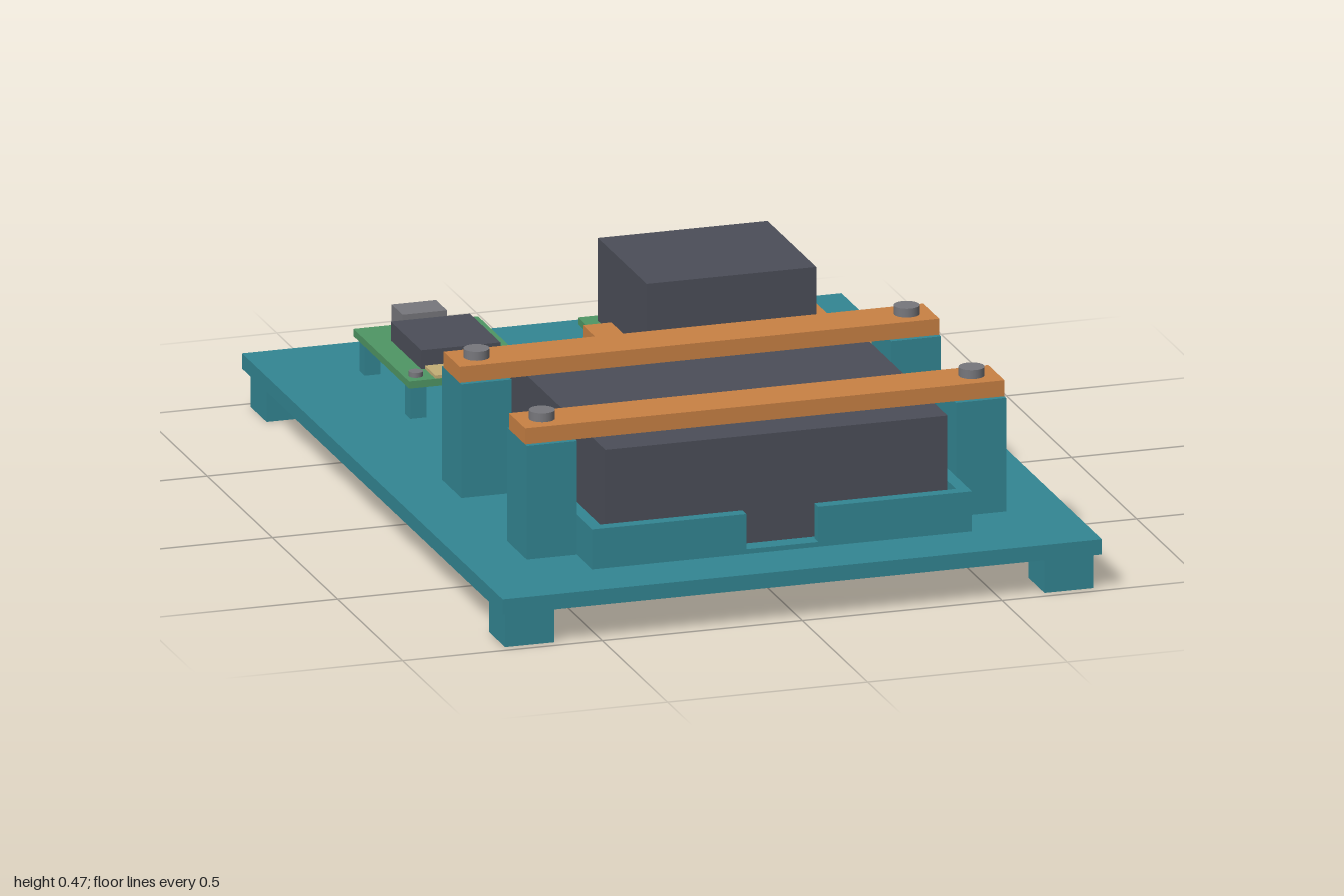
import * as THREE from 'three';

const mat = (name, color) => {
  const m = new THREE.MeshStandardMaterial({ color });
  m.name = name;
  return m;
};

export function createModel() {
  const root = new THREE.Group();
  root.name = 'mountingTray';
  const teal = mat('teal print', 0x338693);
  const orange = mat('orange print', 0xc98144);
  const dark = mat('dark casing', 0x4b4e58);
  const green = mat('circuit board green', 0x4f9664);
  const tan = mat('tan header', 0xc2ae76);
  const steel = mat('steel grey', 0x77777c);

  // Box given by its minimum and maximum on each axis
  function box(name, m, x0, x1, y0, y1, z0, z1, parent = root) {
    const mesh = new THREE.Mesh(new THREE.BoxGeometry(x1 - x0, y1 - y0, z1 - z0), m);
    mesh.position.set((x0 + x1) / 2, (y0 + y1) / 2, (z0 + z1) / 2);
    mesh.name = name;
    parent.add(mesh);
    return mesh;
  }
  function cyl(name, r, y0, y1, x, z, sides, parent) {
    const mesh = new THREE.Mesh(new THREE.CylinderGeometry(r, r, y1 - y0, sides), steel);
    // hexagonal nuts keep crisp faces
    if (sides === 6) {
      mesh.geometry = mesh.geometry.toNonIndexed();
      mesh.geometry.computeVertexNormals();
    }
    mesh.position.set(x, (y0 + y1) / 2, z);
    mesh.name = name;
    parent.add(mesh);
  }
  // Bolt with a round head above the plate and a hex nut below it
  function bolt(name, x, z, seat, tip, s = 1) {
    const g = new THREE.Group();
    g.name = name;
    const small = s < 1;
    cyl('head', small ? 0.017 : 0.031, seat, seat + (small ? 0.012 : 0.022), x, z, 24, g);
    cyl('shaft', small ? 0.009 : 0.017, tip, seat, x, z, 16, g);
    cyl('nut', small ? 0.024 : 0.038, small ? 0.071 : 0.06, 0.09, x, z, 6, g);
    root.add(g);
  }

  // Base plate and feet
  const top = 0.128;
  box('basePlate', teal, -0.75, 0.75, 0.09, top, -1, 1);
  for (const x of [-0.675, 0.675])
    for (const z of [-0.915, 0.915])
      box('foot', teal, x - 0.061, x + 0.061, 0, 0.09, z - 0.061, z + 0.061);

  // Battery and its tray, with a cable notch in the front wall
  box('battery', dark, -0.428, 0.428, 0.14, 0.409, 0, 0.803);
  box('trayFloor', teal, -0.475, 0.475, top, 0.14, -0.046, 0.846);
  for (const s of [-1, 1]) {
    const a = s * 0.445, b = s * 0.475;
    box('traySide', teal, Math.min(a, b), Math.max(a, b), 0.14, 0.228, -0.046, 0.846);
    const c = s * 0.09;
    box('trayFront', teal, Math.min(a, c), Math.max(a, c), 0.14, 0.228, 0.816, 0.846);
  }
  box('trayBack', teal, -0.445, 0.445, 0.14, 0.228, -0.046, -0.016);

  // Posts, straps and strap bolts
  for (const z of [0.15, 0.65]) {
    box('strap', orange, -0.6, 0.6, 0.412, 0.452, z - 0.062, z + 0.062);
    for (const s of [-1, 1]) {
      const x = s * 0.5375;
      box('strapPost', teal, x - 0.0625, x + 0.0625, top, 0.412, z - 0.075, z + 0.075);
      bolt('strapBolt', s * 0.538, z, 0.452, 0.016);
    }
  }

  // Large module on its circuit board
  const cx = 0.272, cz = -0.564;
  box('moduleBoard', green, cx - 0.25, cx + 0.25, 0.188, 0.205, cz - 0.226, cz + 0.226);
  box('moduleCase', dark, cx - 0.212, cx + 0.212, 0.205, 0.412, cz - 0.187, cz + 0.187);

  // Stops in front of and behind the module; clamps on its sides
  for (const s of [-1, 1]) {
    const stop = new THREE.Group();
    stop.name = 'moduleStop';
    stop.position.set(cx, 0, cz);
    stop.rotation.y = s > 0 ? 0 : Math.PI;
    box('stopWall', teal, -0.126, 0.126, top, 0.226, 0.235, 0.267, stop);
    box('stopTab', teal, -0.062, 0.062, top, 0.149, 0.267, 0.362, stop);
    root.add(stop);
    bolt('stopBolt', cx, cz + s * 0.29, 0.149, 0.025);

    const clamp = new THREE.Group();
    clamp.name = 'moduleClamp';
    clamp.position.set(cx, 0, cz);
    clamp.rotation.y = s > 0 ? 0 : Math.PI;
    box('clampPad', orange, 0.256, 0.424, top, 0.15, -0.073, 0.073, clamp);
    box('clampUpright', orange, 0.256, 0.29, 0.15, 0.207, -0.062, 0.062, clamp);
    box('clampLip', orange, 0.219, 0.29, 0.207, 0.24, -0.062, 0.062, clamp);
    root.add(clamp);
    bolt('clampBolt', cx + s * 0.35, cz, 0.15, 0.025);
  }

  // Small controller board on four standoffs
  box('controllerBoard', green, -0.535, -0.223, 0.21, 0.228, -0.804, -0.376);
  box('controllerChip', dark, -0.478, -0.28, 0.228, 0.275, -0.692, -0.458);
  box('controllerHeader', tan, -0.469, -0.288, 0.228, 0.236, -0.458, -0.377);
  box('cablePort', steel, -0.434, -0.323, 0.228, 0.274, -0.82, -0.736);
  for (const x of [-0.506, -0.25]) {
    for (const z of [-0.414, -0.765])
      box('standoff', teal, x - 0.02, x + 0.02, top, 0.21, z - 0.02, z + 0.02);
    bolt('controllerBolt', x, -0.414, 0.228, 0.033, 0.5);
  }
  return root;
}
